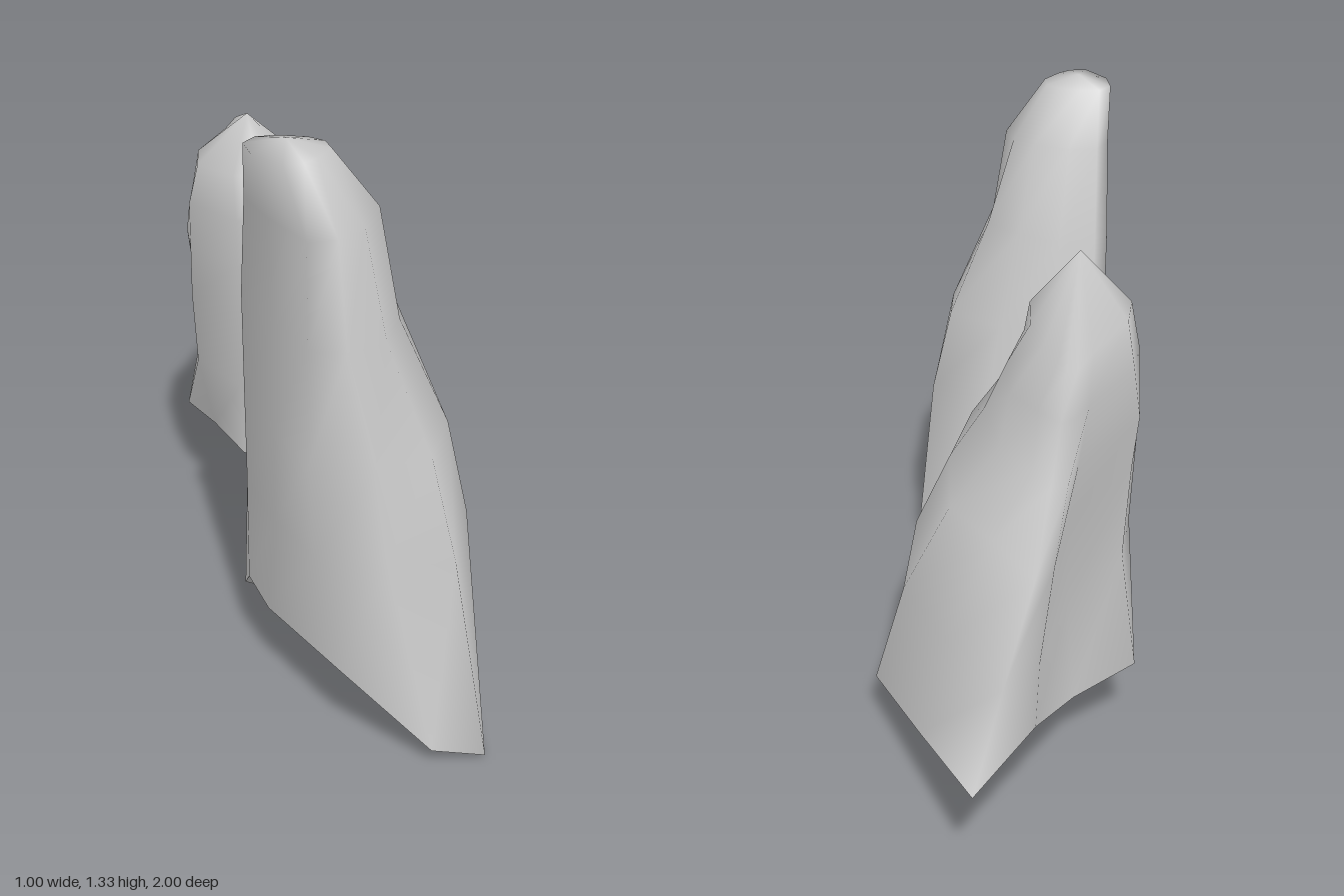
import * as THREE from 'three';

const material = new THREE.MeshStandardMaterial({ color: 0xcccccc, side: THREE.DoubleSide });

// One level cross-section: [x, z] corners at a given height.
const level = (y, ...corners) => corners.map(([x, z]) => [x, y, z]);

// Skin a stack of rings (bottom to top), close the top at an apex and hollow the underside.
function makeRock(name, rings, apex, underside) {
  const n = rings[0].length;
  const points = [...rings.flat(), apex];
  const index = [];
  for (let i = 0; i < rings.length; i++) {
    for (let j = 0; j < n; j++) {
      const a = i * n + j;
      const b = i * n + (j + 1) % n;
      if (i < rings.length - 1) index.push(a, a + n, b, b, a + n, b + n);
      else index.push(a, rings.length * n, b);
    }
  }
  // The underside has its own rim so the bottom edge stays sharp.
  const rim = points.length;
  points.push(...rings[0], underside);
  for (let j = 0; j < n; j++) index.push(rim + j, rim + (j + 1) % n, rim + n);

  const geometry = new THREE.BufferGeometry();
  geometry.setAttribute('position', new THREE.Float32BufferAttribute(points.flat(), 3));
  geometry.setIndex(index);
  geometry.computeVertexNormals();
  const mesh = new THREE.Mesh(geometry, material);
  mesh.name = name;
  return mesh;
}

// Tall rock: ragged flared foot, flat slanted left face, narrow top leaning forward.
function tallRock() {
  const foot = [
    [0.39, 0.005, 0.45], [0.42, 0.1, 0.66], [0.5, 0.01, 0.95], [0.39, 0.04, 1], [0.18, 0.17, 0.935],
    [-0.04, 0.17, 0.7], [-0.11, 0.19, 0.6], [-0.155, 0.09, 0.46], [-0.05, 0.06, 0.345], [0.08, 0.13, 0.325],
  ];
  return makeRock('tallRock', [
    foot,
    level(0.45, [0.36, 0.5], [0.41, 0.66], [0.42, 0.9], [0.28, 0.94], [0.12, 0.94],
      [0, 0.79], [-0.105, 0.62], [-0.1, 0.5], [0, 0.46], [0.18, 0.45]),
    level(0.67, [0.32, 0.54], [0.365, 0.67], [0.36, 0.86], [0.25, 0.93], [0.11, 0.94],
      [0, 0.79], [-0.105, 0.63], [-0.1, 0.54], [0, 0.5], [0.15, 0.49]),
    level(0.93, [0.23, 0.6], [0.265, 0.73], [0.26, 0.86], [0.19, 0.93], [0.11, 0.94],
      [0, 0.79], [-0.105, 0.64], [-0.09, 0.58], [0, 0.54], [0.12, 0.55]),
    level(1.17, [0.17, 0.64], [0.215, 0.7], [0.21, 0.84], [0.17, 0.92], [0.11, 0.945],
      [0, 0.82], [-0.08, 0.7], [-0.07, 0.64], [0, 0.61], [0.1, 0.61]),
    level(1.31, [0.1, 0.71], [0.125, 0.76], [0.11, 0.83], [0.09, 0.87], [0.05, 0.89],
      [-0.03, 0.83], [-0.065, 0.76], [-0.05, 0.71], [0, 0.69], [0.06, 0.69]),
  ], [0.03, 1.33, 0.77], [0.15, 0.17, 0.66]);
}

// Broad rock: upright front, a low shoulder behind it and a ridge falling to a long tail.
function broadRock() {
  const foot = [
    [0.11, 0.12, -0.47], [0.16, 0.16, -0.2], [0.22, 0.14, 0.03], [0.03, 0.25, 0.235],
    [-0.11, 0.22, 0.13], [-0.25, 0.25, 0.08], [-0.37, 0.25, -0.08], [-0.505, 0.2, -0.3],
    [-0.4, 0.17, -0.45], [-0.42, 0.3, -0.77], [-0.36, 0.25, -1], [-0.12, 0.18, -0.73],
  ];
  return makeRock('broadRock', [
    foot,
    level(0.45, [-0.01, -0.56], [0.09, -0.25], [0.13, 0], [0.02, 0.165], [-0.11, 0.12], [-0.25, 0.1],
      [-0.4, -0.04], [-0.44, -0.22], [-0.39, -0.48], [-0.42, -0.75], [-0.38, -0.87], [-0.19, -0.73]),
    level(0.65, [-0.1, -0.49], [0, -0.24], [0.04, 0], [-0.03, 0.12], [-0.13, 0.13], [-0.25, 0.1],
      [-0.4, 0], [-0.435, -0.15], [-0.38, -0.45], [-0.42, -0.66], [-0.4, -0.73], [-0.25, -0.6]),
    level(0.78, [-0.19, -0.4], [-0.08, -0.22], [-0.05, 0], [-0.08, 0.1], [-0.15, 0.13], [-0.25, 0.11],
      [-0.4, 0], [-0.445, -0.13], [-0.39, -0.42], [-0.4, -0.52], [-0.37, -0.55], [-0.3, -0.48]),
    level(0.9, [-0.2, -0.36], [-0.13, -0.2], [-0.1, 0], [-0.12, 0.09], [-0.17, 0.125], [-0.25, 0.11],
      [-0.4, 0], [-0.425, -0.12], [-0.39, -0.35], [-0.38, -0.43], [-0.36, -0.46], [-0.29, -0.42]),
    level(1.01, [-0.26, -0.3], [-0.19, -0.2], [-0.14, -0.07], [-0.15, 0.04], [-0.19, 0.09], [-0.26, 0.09],
      [-0.37, 0.02], [-0.4, -0.1], [-0.38, -0.3], [-0.38, -0.41], [-0.36, -0.43], [-0.32, -0.37]),
  ], [-0.25, 1.14, -0.02], [-0.12, 0.23, -0.2]);
}

export function createModel() {
  const model = new THREE.Group();
  model.name = 'rocks';
  model.add(tallRock(), broadRock());
  return model;
}
